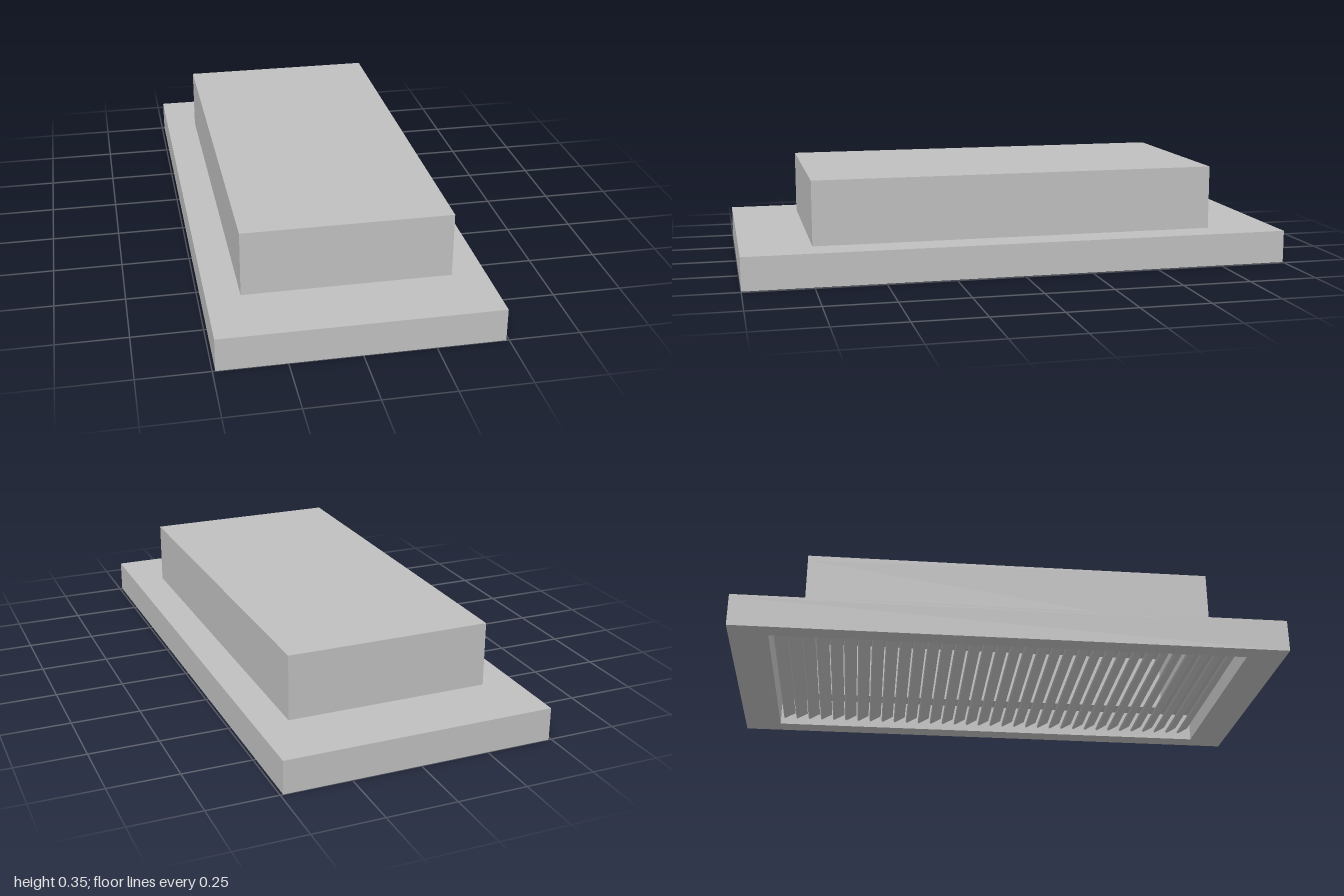
import * as THREE from 'three';

export function createModel() {
  const model = new THREE.Group();
  model.name = 'ventGrille';
  const grey = new THREE.MeshStandardMaterial({ color: 0xc0c0c0 });
  grey.name = 'painted metal grey';

  const add = (name, geometry, parent = model) => {
    const mesh = new THREE.Mesh(geometry, grey);
    mesh.name = name;
    parent.add(mesh);
    return mesh;
  };

  const trace = (path, x, z) =>
    path.moveTo(-x, -z).lineTo(x, -z).lineTo(x, z).lineTo(-x, z).closePath();

  // Upright rectangular ring given by outer and inner half sizes
  const ring = (name, x, z, innerX, innerZ, bottom, top) => {
    const shape = trace(new THREE.Shape(), x, z);
    shape.holes.push(trace(new THREE.Path(), innerX, innerZ));
    const geometry = new THREE.ExtrudeGeometry(shape, { depth: top - bottom, bevelEnabled: false });
    geometry.rotateX(-Math.PI / 2).translate(0, bottom, 0);
    return add(name, geometry);
  };

  // Wide flange with its recess and the shoulder above it
  ring('flangeFrame', 0.49, 1, 0.42, 0.86, 0, 0.11);
  ring('flangeShoulder', 0.49, 1, 0.35, 0.725, 0.11, 0.12);

  // Hollow duct box
  ring('ductWalls', 0.37, 0.745, 0.35, 0.725, 0.12, 0.335);
  add('ductLid', new THREE.BoxGeometry(0.74, 0.02, 1.49)).position.y = 0.345;

  // Tilted slats across the opening
  const slats = new THREE.Group();
  slats.name = 'slats';
  model.add(slats);
  const count = 34;
  const pitch = 1.7 / count;
  const slatGeometry = new THREE.BoxGeometry(0.84, 0.008, 0.048);
  for (let i = 0; i < count; i++) {
    const slat = add('slat', slatGeometry, slats);
    slat.position.set(0, 0.04, (i - (count - 1) / 2) * pitch);
    slat.rotation.x = -Math.PI / 6;
  }

  return model;
}
